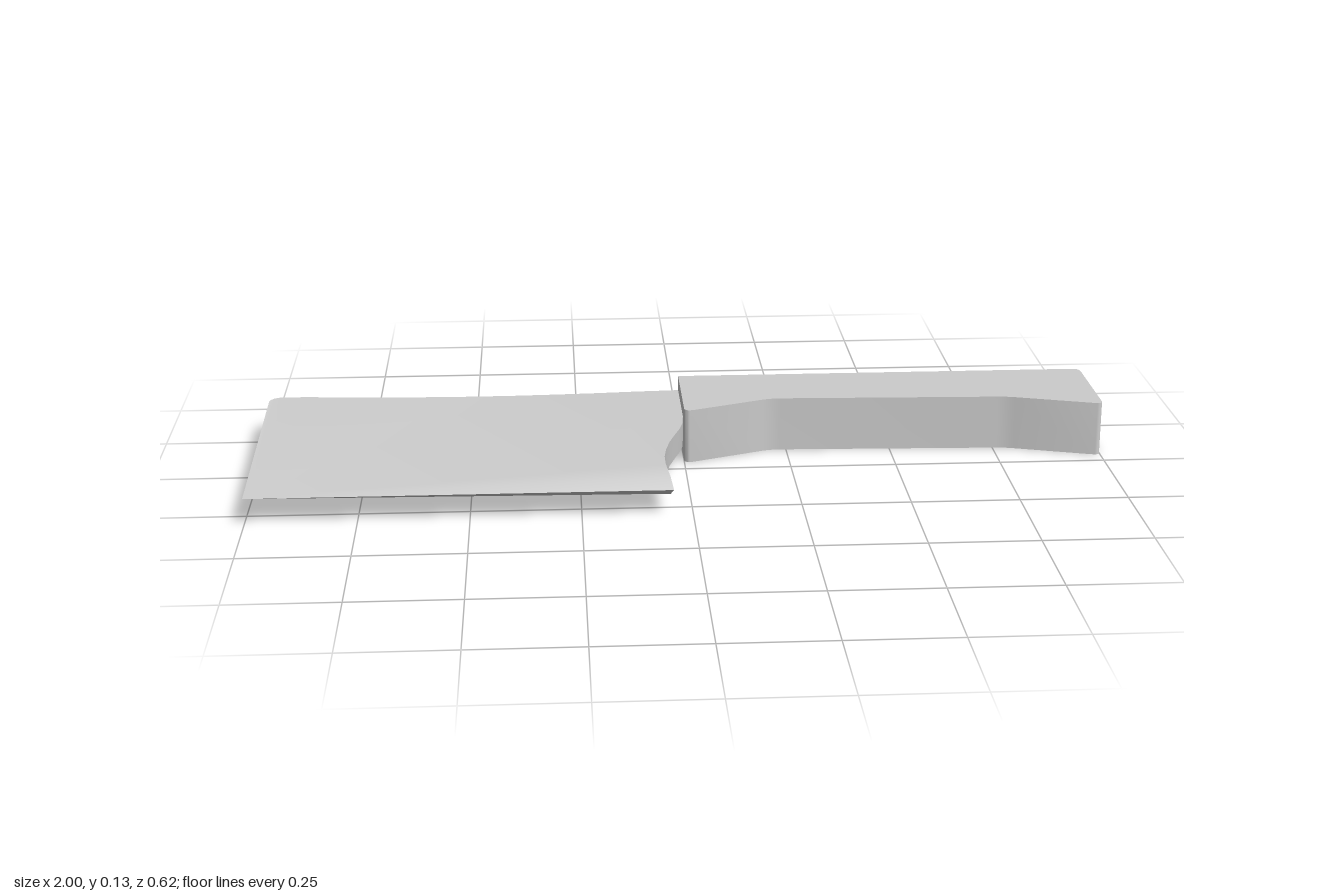
import * as THREE from 'three';
import { toCreasedNormals } from 'three/addons/utils/BufferGeometryUtils.js';

const material = new THREE.MeshStandardMaterial({ color: 0xcccccc });
const MID = 0.064;   // height of the cutting edge
const HALF = 0.0295; // half of the blade thickness

// Blade outline, counter-clockwise from above: [x, z, half thickness]
function bladeOutline() {
  const edge = [[-1, 0.31, 0], [-0.044, 0.31, 0]];
  const bevel = [[-0.05, 0.28, 0.02], [-0.055, 0.25, 0.0275], [-0.058, 0.22, HALF]];
  const heel = [[-0.058, 0.17], [-0.052, 0.12], [-0.041, 0.07], [-0.026, 0.02],
    [-0.013, -0.02], [-0.004, -0.06], [0, -0.11], [0, -0.31]];
  const spine = [[-0.1, -0.305], [-0.2, -0.298], [-0.3, -0.293], [-0.42, -0.289], [-0.52, -0.289],
    [-0.62, -0.291], [-0.72, -0.295], [-0.82, -0.302], [-0.9, -0.308], [-0.96, -0.311],
    [-0.977, -0.309], [-0.99, -0.302], [-0.998, -0.291], [-1, -0.278]];
  const full = [...heel, ...spine].map(([x, z]) => [x, z, HALF]);
  return [...edge, ...bevel, ...full];
}

function bladeGeometry() {
  const outline = bladeOutline();
  const n = outline.length;
  const bevelEnd = 4; // last bevel point on the heel
  const spineMid = outline.findIndex(p => p[0] === -0.42);

  // Faces of one cheek: a fan from the front tip, and the flat part by the handle
  const faces = [];
  for (let i = 1; i < bevelEnd; i++) faces.push([0, i, i + 1]);
  faces.push([0, bevelEnd, spineMid]);
  for (let i = spineMid; i < n - 1; i++) faces.push([0, i, i + 1]);
  const flat = outline.slice(bevelEnd, spineMid + 1).map(([x, z]) => new THREE.Vector2(x, -z));
  for (const f of THREE.ShapeUtils.triangulateShape(flat, [])) faces.push(f.map(i => i + bevelEnd));

  const positions = [];
  const put = (i, side) => {
    const [x, z, h] = outline[i];
    positions.push(x, MID + side * h, z);
  };
  for (const [a, b, c] of faces) {
    put(a, 1); put(b, 1); put(c, 1);
    put(a, -1); put(c, -1); put(b, -1);
  }
  // Rim between the two cheeks, closing to nothing at the cutting edge
  for (let i = 0; i < n; i++) {
    const j = (i + 1) % n;
    if (outline[j][2] > 0) { put(i, -1); put(j, -1); put(j, 1); }
    if (outline[i][2] > 0) { put(i, -1); put(j, 1); put(i, 1); }
  }
  const geometry = new THREE.BufferGeometry();
  geometry.setAttribute('position', new THREE.Float32BufferAttribute(positions, 3));
  return toCreasedNormals(geometry, 0.6);
}

// Handle: a plan profile with a finger recess, extruded upward
function handleGeometry() {
  const s = new THREE.Shape();
  s.moveTo(0, 0.31);
  s.lineTo(0, 0.06);
  s.quadraticCurveTo(0, 0.042, 0.02, 0.047);
  s.lineTo(0.19, 0.114);
  s.quadraticCurveTo(0.21, 0.122, 0.235, 0.122);
  s.lineTo(0.76, 0.104);
  s.quadraticCurveTo(0.78, 0.103, 0.8, 0.097);
  s.lineTo(0.98, 0.043);
  s.quadraticCurveTo(1, 0.037, 1, 0.055);
  s.lineTo(1, 0.29);
  s.quadraticCurveTo(1, 0.31, 0.98, 0.31);
  s.closePath();
  const geometry = new THREE.ExtrudeGeometry(s, { depth: 0.13, bevelEnabled: false, curveSegments: 5 });
  geometry.rotateX(-Math.PI / 2);
  return toCreasedNormals(geometry, 0.6);
}

export function createModel() {
  const model = new THREE.Group();
  model.name = 'cleaver';
  const add = (name, geometry) => {
    const mesh = new THREE.Mesh(geometry, material);
    mesh.name = name;
    model.add(mesh);
  };
  add('blade', bladeGeometry());
  add('handle', handleGeometry());
  return model;
}
